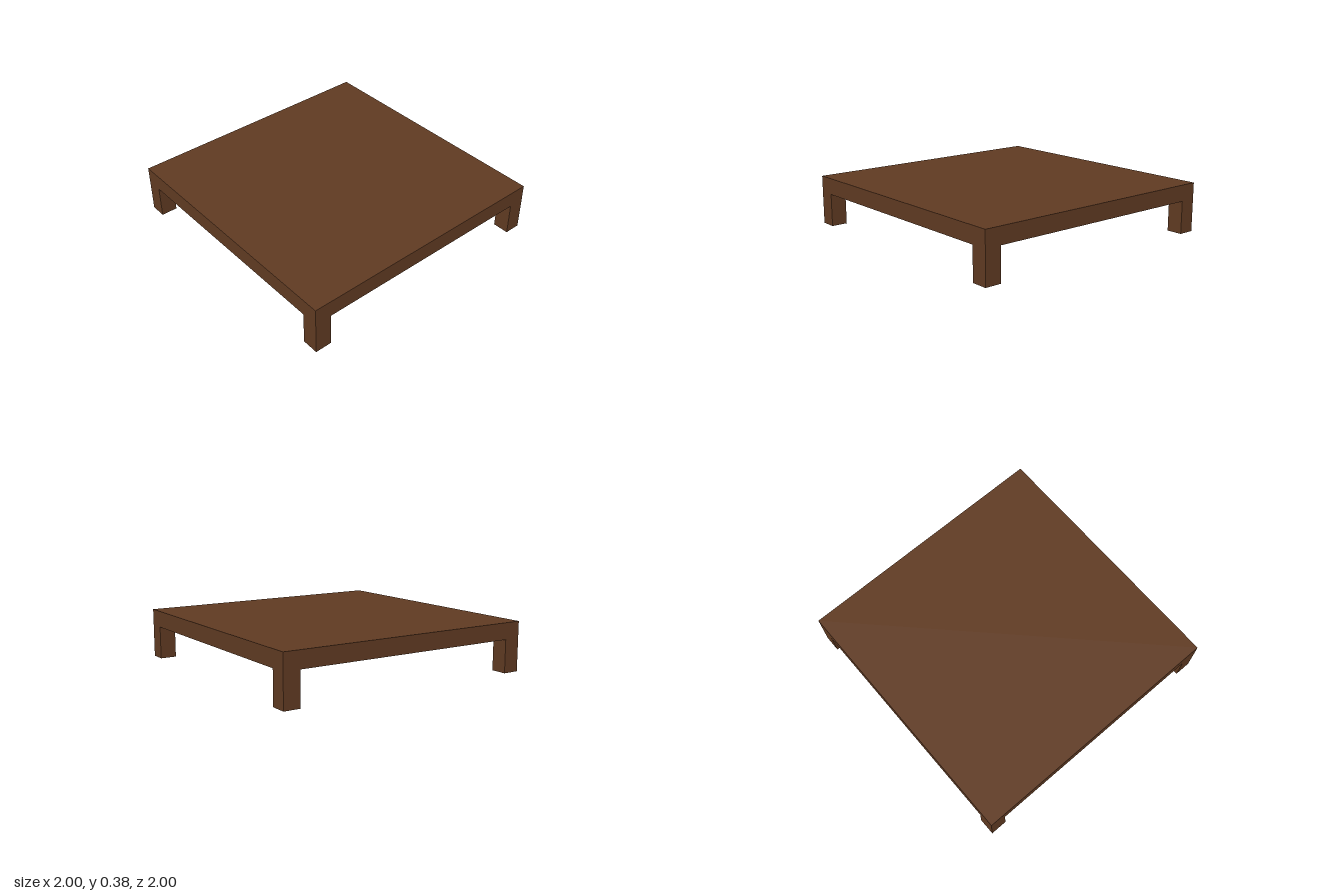
import * as THREE from 'three';

export function createModel() {
  const model = new THREE.Group();
  model.name = 'lowTable';

  const wood = new THREE.MeshStandardMaterial({ color: 0x5f3a22, side: THREE.DoubleSide });
  wood.name = 'dark brown wood';

  const legSize = 0.125, legHeight = 0.25, topThickness = 0.125;

  // Square table top
  const top = new THREE.Mesh(new THREE.BoxGeometry(2, topThickness, 2), wood);
  top.name = 'tableTop';
  top.position.y = legHeight + topThickness / 2;
  model.add(top);

  // Hollow leg: a box without its top and bottom faces, open at the floor
  const legGeometry = new THREE.BoxGeometry(legSize, legHeight, legSize);
  const index = Array.from(legGeometry.index.array);
  index.splice(12, 12);
  legGeometry.setIndex(index);
  legGeometry.clearGroups();

  // One leg flush with each corner
  const offset = 1 - legSize / 2;
  for (const [side, x] of [['Left', offset], ['Right', -offset]]) {
    for (const [end, z] of [['front', offset], ['back', -offset]]) {
      const leg = new THREE.Mesh(legGeometry, wood);
      leg.name = `${end}${side}Leg`;
      leg.position.set(x, legHeight / 2, z);
      model.add(leg);
    }
  }

  return model;
}
